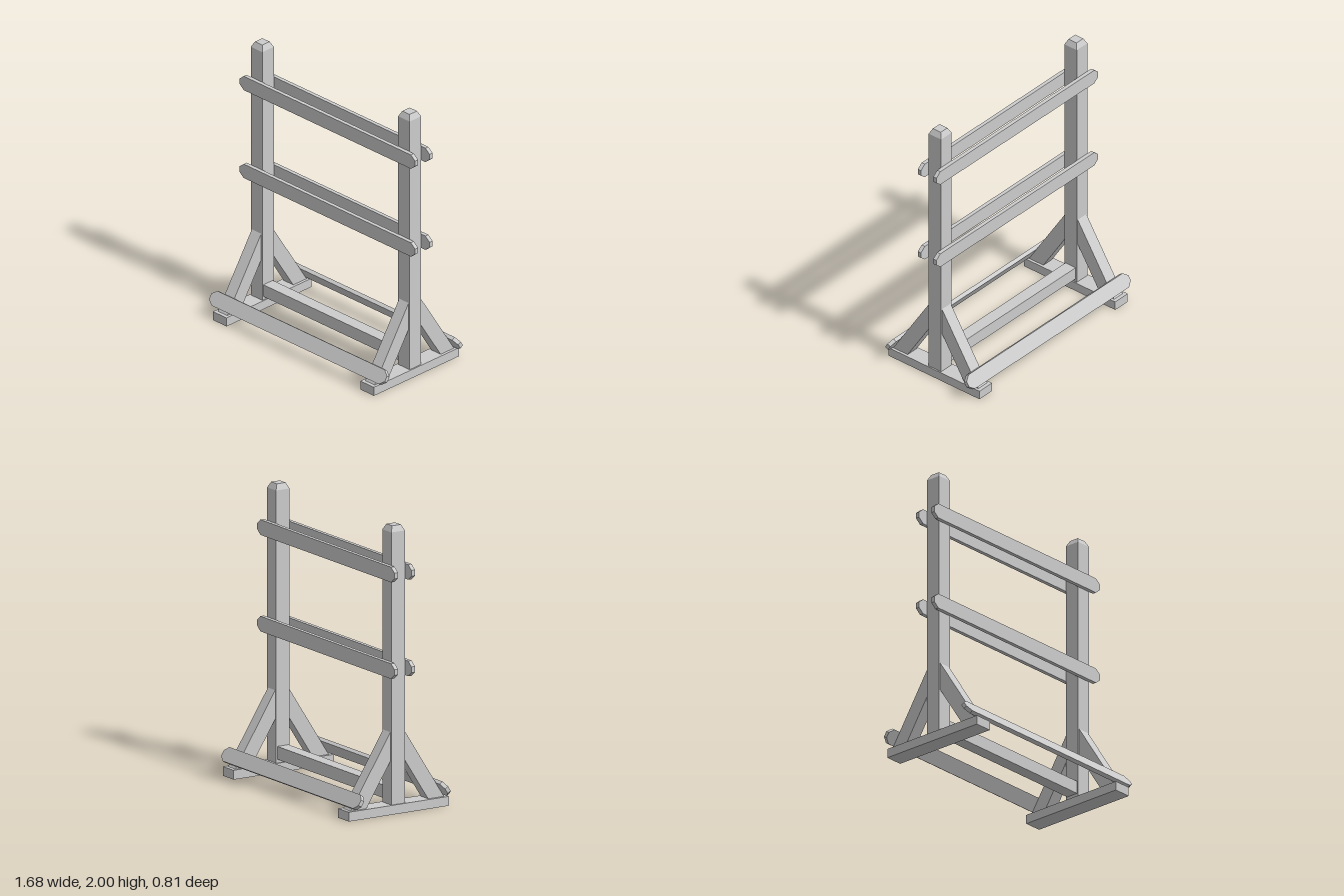
import * as THREE from 'three';

const material = new THREE.MeshStandardMaterial({ color: 0xcccccc, flatShading: true });
const POST_X = 0.705, POST_HALF = 0.055, FOOT_H = 0.065;

function add(parent, name, geometry, x = 0, y = 0, z = 0) {
  const mesh = new THREE.Mesh(geometry, material);
  mesh.name = name;
  mesh.position.set(x, y, z);
  parent.add(mesh);
  return mesh;
}

// Extrude an outline to a given depth, centred on its own z
function slab(points, depth) {
  const shape = new THREE.Shape(points.map(([x, y]) => new THREE.Vector2(x, y)));
  return new THREE.ExtrudeGeometry(shape, { depth, bevelEnabled: false }).translate(0, 0, -depth / 2);
}

// Square post whose top narrows to a small flat cap
function postGeometry() {
  const r = Math.SQRT2;
  const profile = [[0, FOOT_H], [POST_HALF * r, FOOT_H], [POST_HALF * r, 1.96], [0.035 * r, 2], [0, 2]];
  return new THREE.LatheGeometry(profile.map(([x, y]) => new THREE.Vector2(x, y)), 4)
    .rotateY(Math.PI / 4).toNonIndexed();
}

// Plank with cut corners at both ends
function plankGeometry() {
  const L = 0.84, S = 0.8, h = 0.053, e = 0.02;
  return slab([[-S, -h], [S, -h], [L, -e], [L, e], [S, h], [-S, h], [-L, e], [-L, -e]], 0.028);
}

// Slanted brace, cut upright at the post and level at the foot
function braceGeometry() {
  return slab([[0.055, 0.37], [0.25, FOOT_H], [0.378, FOOT_H], [0.055, 0.57]], 0.09)
    .rotateY(-Math.PI / 2);
}

export function createModel() {
  const model = new THREE.Group();
  model.name = 'rackFrame';

  const post = postGeometry(), plank = plankGeometry(), brace = braceGeometry();
  const foot = new THREE.BoxGeometry(0.13, FOOT_H, 0.81);

  // Uprights and their feet
  for (const [side, s] of [['left', 1], ['right', -1]]) {
    add(model, side + 'Foot', foot, s * POST_X, FOOT_H / 2, 0);
    add(model, side + 'Post', post, s * POST_X, 0, 0);
  }

  // Low beam joining the posts
  add(model, 'lowerBeam', new THREE.BoxGeometry(2 * (POST_X - POST_HALF), 0.09, 0.09), 0, 0.135, 0);

  // Braces and planks, the same on front and back
  const tilt = Math.atan2(0.323, 0.505);
  for (const [name, turn] of [['front', 0], ['back', Math.PI]]) {
    const face = new THREE.Group();
    face.name = name + 'Side';
    face.rotation.y = turn;
    model.add(face);
    for (const s of [-1, 1]) add(face, name + 'Brace', brace, s * POST_X, 0, 0);
    add(face, name + 'UpperRail', plank, 0, 1.678, 0.069);
    add(face, name + 'MiddleRail', plank, 0, 1.007, 0.069);
    // Low plank lying on the slope of the braces
    add(face, name + 'LowerRail', plank, 0, 0.132, 0.35).rotation.x = -tilt;
  }
  return model;
}
